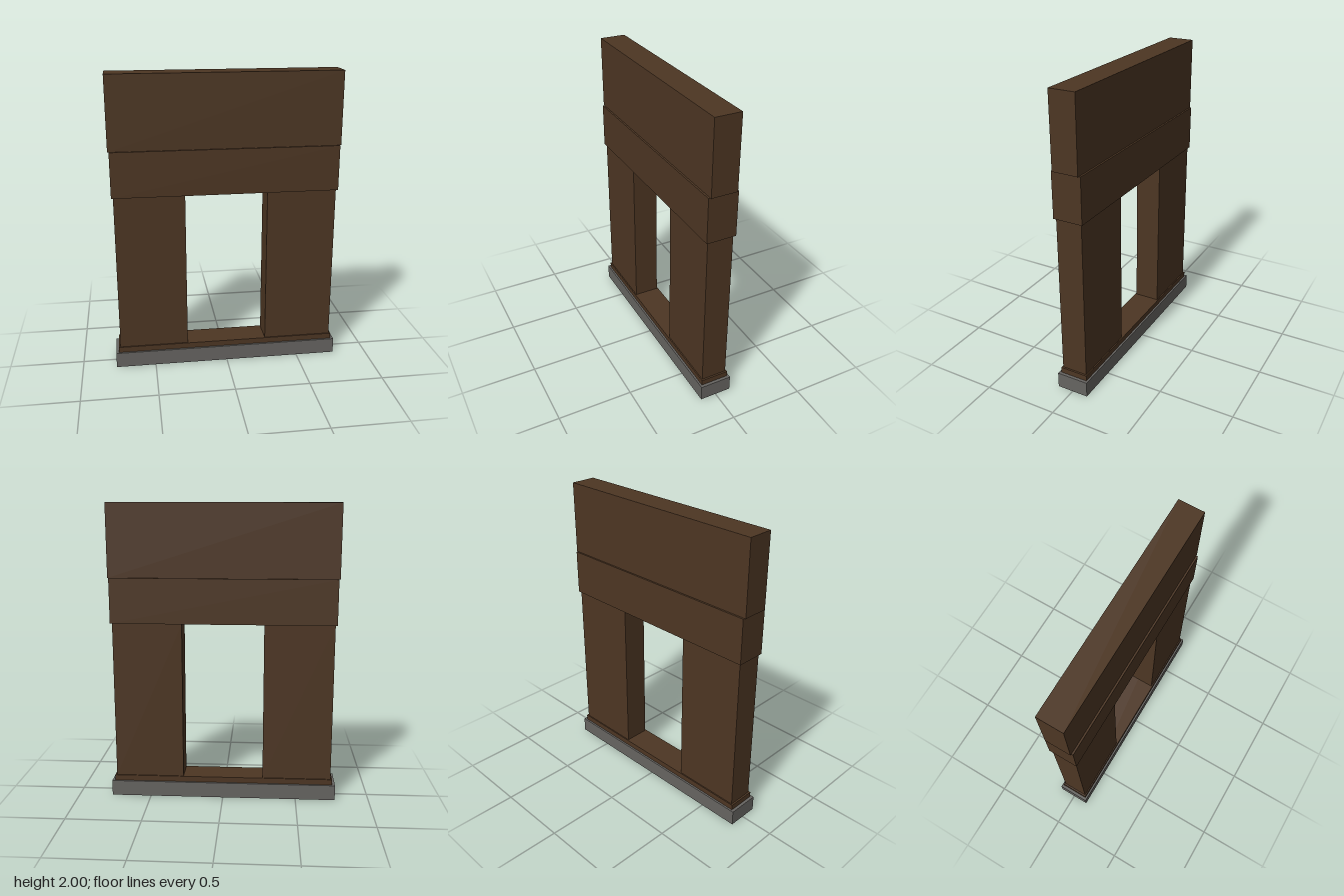
import * as THREE from 'three';

const wood = new THREE.MeshStandardMaterial({ name: 'dark wood', color: 0x4d3623 });
const stone = new THREE.MeshStandardMaterial({ name: 'grey stone', color: 0x666461 });

export function createModel() {
  const group = new THREE.Group();
  group.name = 'doorwayWall';

  // Box spanning x0..x1 and y0..y1, centred on z
  function block(name, material, x0, x1, y0, y1, depth) {
    const mesh = new THREE.Mesh(new THREE.BoxGeometry(x1 - x0, y1 - y0, depth), material);
    mesh.position.set((x0 + x1) / 2, (y0 + y1) / 2, 0);
    mesh.name = name;
    group.add(mesh);
  }

  // Stone footing and wooden sill
  block('footing', stone, -0.77, 0.77, 0, 0.105, 0.216);
  block('sill', wood, -0.75, 0.75, 0.105, 0.143, 0.19);

  // Wall panels either side of the opening
  block('leftPanel', wood, 0.273, 0.738, 0.143, 1.213, 0.174);
  block('rightPanel', wood, -0.738, -0.273, 0.143, 1.213, 0.174);

  // Lintel and upper wall
  block('lintel', wood, -0.75, 0.75, 1.213, 1.515, 0.198);
  block('upperWall', wood, -0.759, 0.759, 1.515, 2, 0.174);

  return group;
}
